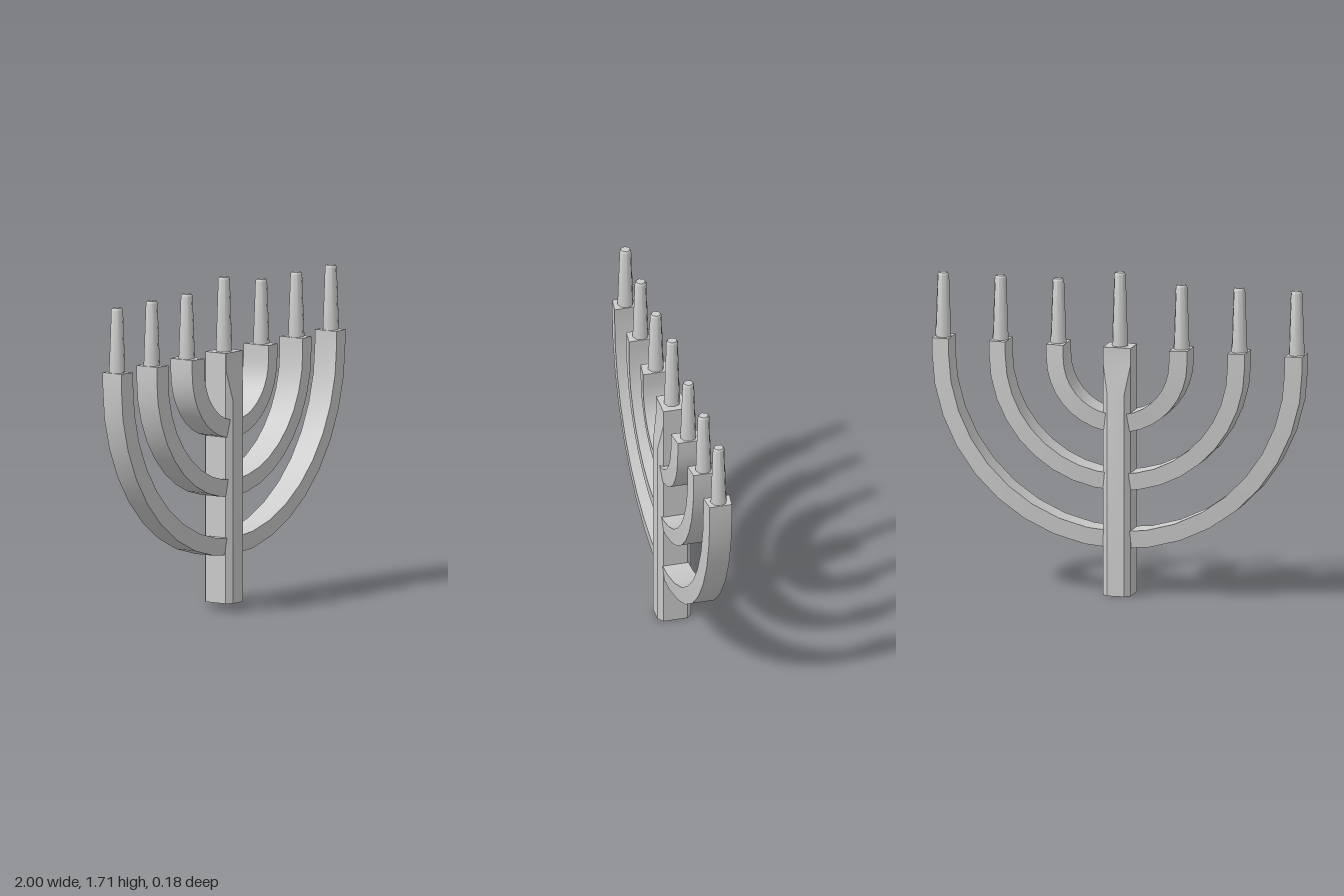
import * as THREE from 'three';
import { toCreasedNormals } from 'three/addons/utils/BufferGeometryUtils.js';

const material = new THREE.MeshStandardMaterial({ color: 0xcccccc });

// Skins a list of equal-length closed rings of [x, y, z] points and caps both ends.
function loft(rings, crease) {
  const n = rings[0].length, last = (rings.length - 1) * n, index = [];
  for (let i = 0; i < rings.length - 1; i++) {
    for (let j = 0; j < n; j++) {
      const k = (j + 1) % n, a = i * n + j, b = i * n + k;
      index.push(a, b, b + n, a, b + n, a + n);
    }
  }
  for (let j = 1; j < n - 1; j++) {
    index.push(0, j + 1, j, last, last + j, last + j + 1);
  }
  const geometry = new THREE.BufferGeometry();
  geometry.setAttribute('position', new THREE.Float32BufferAttribute(rings.flat(2), 3));
  geometry.setIndex(index);
  return toCreasedNormals(geometry, crease);
}

// Eight-cornered post section: side faces at x = w, front and back faces at z = d.
function postRing(y, w, sideZ, frontX, d) {
  return [
    [w, y, sideZ], [w, y, -sideZ], [frontX, y, -d], [-frontX, y, -d],
    [-w, y, -sideZ], [-w, y, sideZ], [-frontX, y, d], [frontX, y, d],
  ];
}

const ARM_TOP = 1.32, ARC_Y = 1.25;

// U-shaped arm: half circle with short straight ends, slightly thicker on its inner side.
function armGeometry(outer, inner, outerZ, innerZ) {
  const steps = 18, rings = [];
  const section = (c, s, y0) => [
    [outer * c, y0 + outer * s, outerZ], [outer * c, y0 + outer * s, -outerZ],
    [inner * c, y0 + inner * s, -innerZ], [inner * c, y0 + inner * s, innerZ],
  ];
  rings.push(section(-1, 0, ARM_TOP));
  for (let i = 0; i <= steps; i++) {
    const t = Math.PI * (1 + i / steps);
    rings.push(section(Math.cos(t), Math.sin(t), ARC_Y));
  }
  rings.push(section(1, 0, ARM_TOP));
  return loft(rings, 0.5);
}

// Tapered candle with a small rounded rim.
function candleGeometry(height) {
  const profile = [[0, 0], [0.043, 0], [0.031, height - 0.01], [0.025, height], [0, height]];
  const lathe = new THREE.LatheGeometry(profile.map(([x, y]) => new THREE.Vector2(x, y)), 8);
  return toCreasedNormals(lathe, 0.8);
}

export function createModel() {
  const group = new THREE.Group();
  const add = (name, geometry, x = 0, y = 0) => {
    const mesh = new THREE.Mesh(geometry, material);
    mesh.name = name;
    mesh.position.set(x, y, 0);
    group.add(mesh);
  };

  // Bevelled post that flares into a square head
  add('post', loft([
    postRing(0, 0.075, 0.065, 0.045, 0.09),
    postRing(1.07, 0.075, 0.065, 0.045, 0.09),
    postRing(1.23, 0.075, 0.065, 0.074, 0.066),
    postRing(ARM_TOP, 0.075, 0.065, 0.074, 0.066),
  ], 0.2));
  add('centreCandle', candleGeometry(0.39), 0, ARM_TOP);

  // Three nested arms, each with a candle at both ends
  const arms = [
    ['outer', 1.0, 0.908, 0.06, 0.07],
    ['middle', 0.69, 0.6, 0.065, 0.074],
    ['inner', 0.38, 0.285, 0.069, 0.081],
  ];
  for (const [name, outer, inner, outerZ, innerZ] of arms) {
    add(name + 'Arm', armGeometry(outer, inner, outerZ, innerZ));
    for (const side of [-1, 1]) {
      add(name + (side > 0 ? 'LeftCandle' : 'RightCandle'),
        candleGeometry(0.34), side * (outer + inner) / 2, ARM_TOP);
    }
  }
  return group;
}
